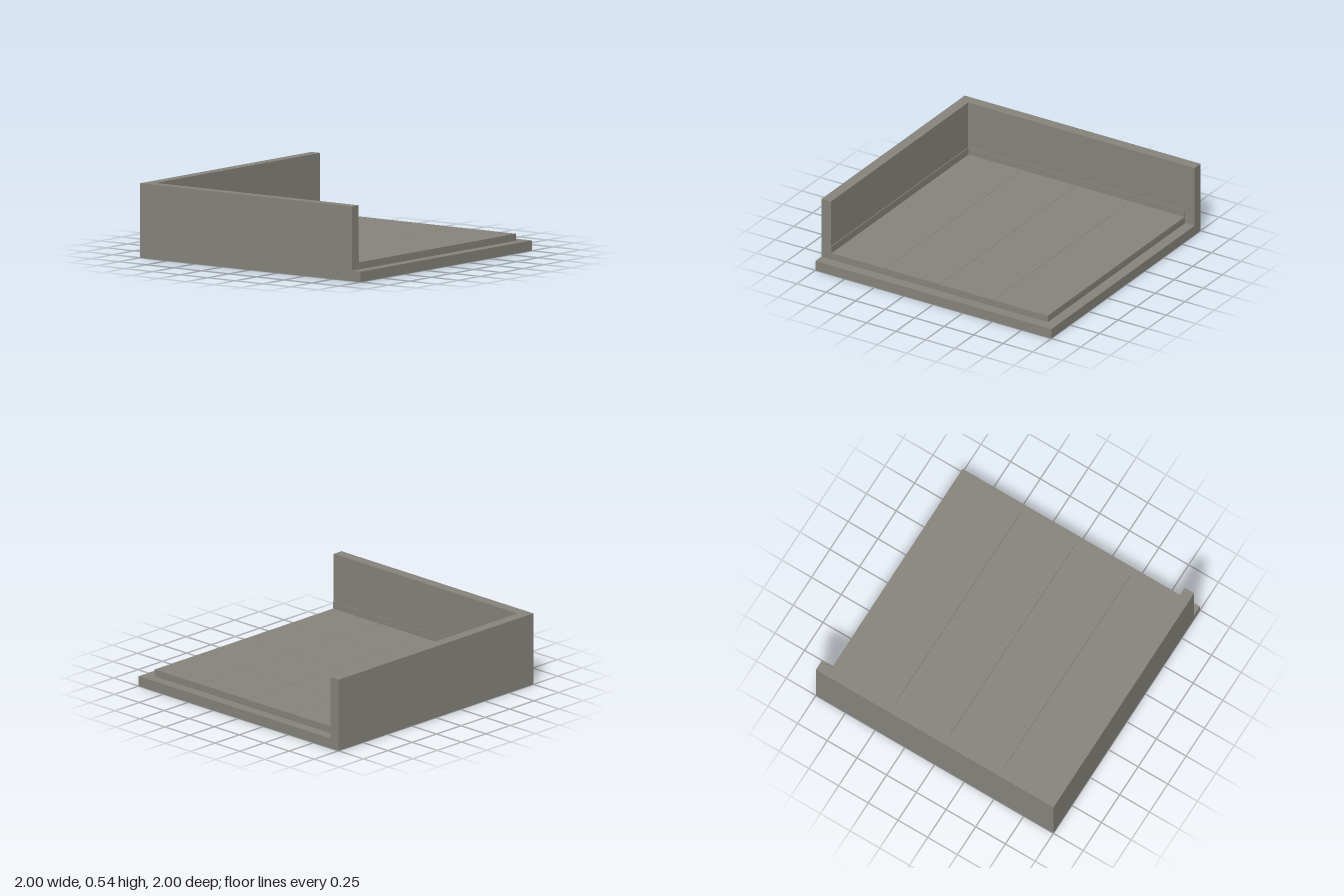
import * as THREE from 'three';

export function createModel() {
  const model = new THREE.Group();
  const stone = new THREE.MeshStandardMaterial({ color: 0x87857d });
  stone.name = 'warm grey stone';

  // Box given by its minimum and maximum corners
  function block(name, [x0, y0, z0], [x1, y1, z1], parent = model) {
    const mesh = new THREE.Mesh(new THREE.BoxGeometry(x1 - x0, y1 - y0, z1 - z0), stone);
    mesh.position.set((x0 + x1) / 2, (y0 + y1) / 2, (z0 + z1) / 2);
    mesh.name = name;
    parent.add(mesh);
  }

  const inner = 0.92, baseTop = 0.075, wallTop = 0.54;

  // Foundation and raised floor
  block('baseSlab', [-1, 0, -1], [1, baseTop, 1]);
  block('subfloor', [-inner, baseTop, -inner], [inner, 0.115, inner]);

  // Four by four floor tiles, almost touching
  const tiles = new THREE.Group();
  tiles.name = 'floorTiles';
  model.add(tiles);
  const step = inner / 2, gap = 0.001;
  for (let i = 0; i < 4; i++) {
    for (let j = 0; j < 4; j++) {
      const x = -inner + i * step, z = -inner + j * step;
      block('floorTile', [x + gap, 0.115, z + gap], [x + step - gap, 0.126, z + step - gap], tiles);
    }
  }

  // Two walls meeting at the back corner
  block('backWall', [-1, baseTop, -1], [1, wallTop, -inner]);
  block('sideWall', [-1, baseTop, -inner], [-inner, wallTop, inner]);

  // Thin skirting boards along the foot of each wall
  block('backSkirting', [-inner, 0.126, -inner], [inner, 0.18, -inner + 0.006]);
  block('sideSkirting', [-inner, 0.126, -inner + 0.006], [-inner + 0.006, 0.18, inner]);

  return model;
}
